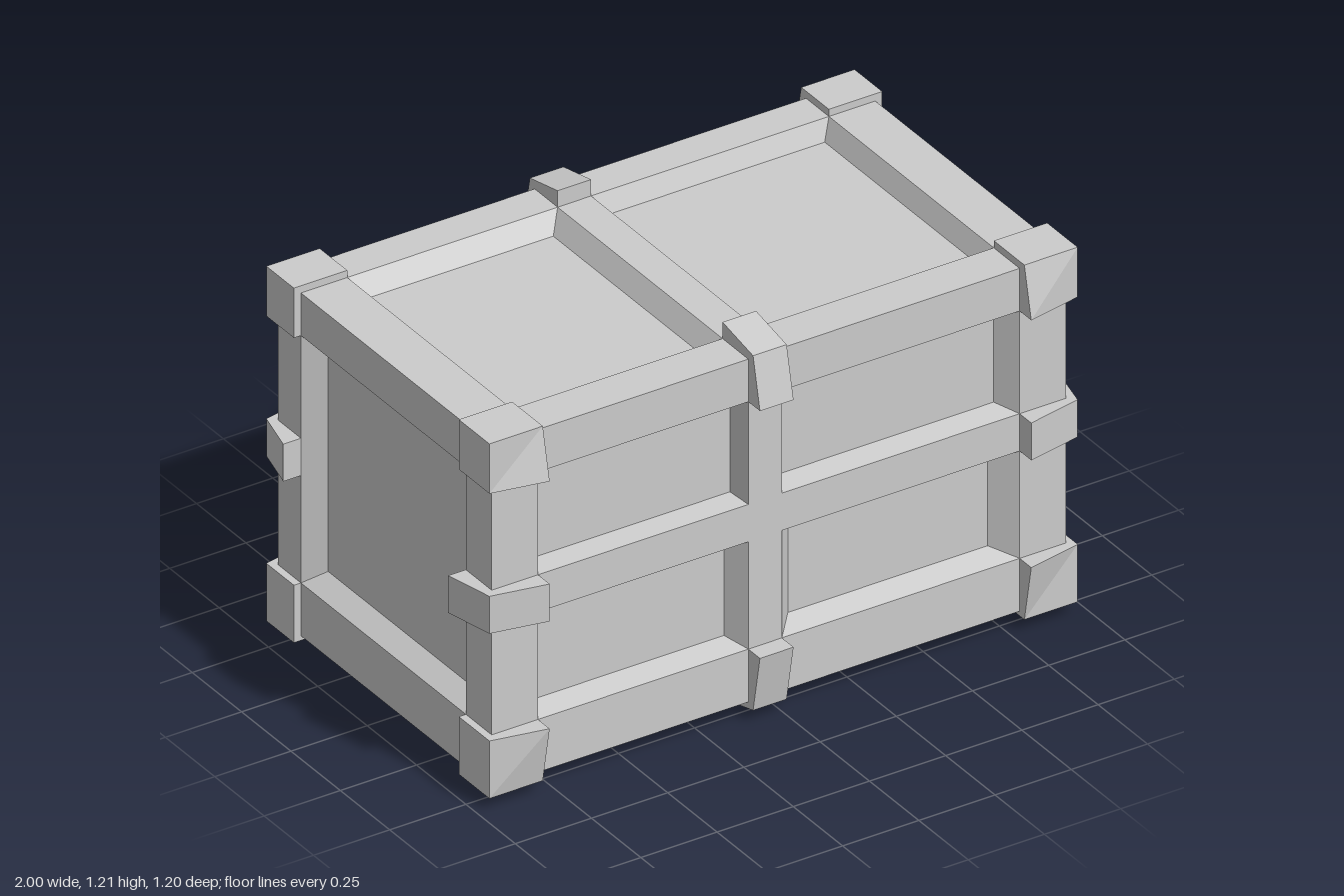
import * as THREE from 'three';

const material = new THREE.MeshStandardMaterial({ color: 0xcccccc, flatShading: true });

// Outer limits of the crate body
const X = 0.942, Y0 = 0.055, Y1 = 1.157, Z = 0.541;
// Inner edges of the frame timbers
const POST = 0.79, LOW = 0.225, HIGH = 1.02, FRONT = 0.41, BACK = -0.425;
const BAR = [-0.1, 0.01], RAIL = [0.57, 0.69];

function addMesh(parent, name, geometry) {
  const mesh = new THREE.Mesh(geometry, material);
  mesh.name = name;
  parent.add(mesh);
  return mesh;
}

// Six-sided block whose corners (each coordinate -1 or 1) are placed by a rule
function block(rule) {
  const g = new THREE.BoxGeometry(2, 2, 2).toNonIndexed();
  const p = g.attributes.position;
  for (let i = 0; i < p.count; i++) p.setXYZ(i, ...rule(p.getX(i), p.getY(i), p.getZ(i)));
  g.computeVertexNormals();
  return g;
}

// Sunken panel: four sloping sides and a floor. Rectangles are [u0, v0, u1, v1].
function tray(o, n, depth) {
  const ring = ([a, b, c, d], z) => [[a, b, z], [c, b, z], [c, d, z], [a, d, z]];
  const A = ring(o, 0), B = ring(n, -depth), pos = [];
  const quad = (a, b, c, d) => pos.push(...a, ...b, ...c, ...a, ...c, ...d);
  for (let i = 0; i < 4; i++) quad(A[i], A[(i + 1) % 4], B[(i + 1) % 4], B[i]);
  quad(...B);
  const g = new THREE.BufferGeometry();
  g.setAttribute('position', new THREE.Float32BufferAttribute(pos, 3));
  g.computeVertexNormals();
  return g;
}

// One side of the crate: flat frame with openings, and a tray in each opening
function side(name, rect, panels, depth) {
  const group = new THREE.Group();
  group.name = name;
  const corners = ([a, b, c, d]) =>
    [[a, b], [c, b], [c, d], [a, d]].map(([u, v]) => new THREE.Vector2(u, v));
  const shape = new THREE.Shape(corners(rect));
  for (const [open, inner] of panels) {
    shape.holes.push(new THREE.Path(corners(open).reverse()));
    addMesh(group, 'recessedPanel', tray(open, inner, depth));
  }
  addMesh(group, 'frame', new THREE.ShapeGeometry(shape));
  return group;
}

// Swap a rectangle left to right, or top to bottom
const flipU = ([a, b, c, d]) => [-c, b, -a, d];
const flipV = ([a, b, c, d]) => [a, -d, c, -b];

export function createModel() {
  const crate = new THREE.Group();
  crate.name = 'crate';

  // Front and back: four panels around a cross
  const long = [
    [[-POST, RAIL[1], BAR[0], HIGH], [-0.775, 0.7, -0.115, 1.01]],
    [[BAR[1], RAIL[1], POST, HIGH], [0.045, 0.705, 0.75, 1.01]],
    [[-POST, LOW, BAR[0], RAIL[0]], [-0.76, 0.245, -0.135, 0.55]],
    [[BAR[1], LOW, POST, RAIL[0]], [0.075, 0.25, 0.73, 0.55]],
  ];
  const longRect = [-X, Y0, X, Y1];
  const front = side('frontSide', longRect, long, 0.07);
  front.position.z = Z;
  const back = side('backSide', longRect, long.map(p => p.map(flipU)), 0.07);
  back.position.z = -Z;
  back.rotation.y = Math.PI;

  // Ends: one large panel each
  const end = [[[-FRONT, LOW, -BACK, HIGH], [-0.37, 0.265, 0.38, 0.98]]];
  const endRect = [-Z, Y0, Z, Y1];
  const leftEnd = side('leftEnd', endRect, end, 0.06);
  leftEnd.position.x = X;
  leftEnd.rotation.y = Math.PI / 2;
  const rightEnd = side('rightEnd', endRect, end.map(p => p.map(flipU)), 0.06);
  rightEnd.position.x = -X;
  rightEnd.rotation.y = -Math.PI / 2;

  // Lid: two panels beside the centre bar. Base: one wide panel.
  const lidPanels = [
    [[-POST, BACK, BAR[0], FRONT], [-0.755, -0.385, -0.14, 0.36]],
    [[BAR[1], BACK, POST, FRONT], [0.04, -0.4, 0.76, 0.375]],
  ];
  const flatRect = [-X, -Z, X, Z];
  const lid = side('lid', flatRect, lidPanels.map(p => p.map(flipV)), 0.06);
  lid.position.y = Y1;
  lid.rotation.x = -Math.PI / 2;
  const basePanel = [[[-POST, BACK, POST, FRONT], [-0.76, -0.395, 0.76, 0.38]]];
  const base = side('base', flatRect, basePanel, 0.05);
  base.position.y = Y0;
  base.rotation.x = Math.PI / 2;

  crate.add(front, back, leftEnd, rightEnd, lid, base);

  for (const sz of [1, -1]) {
    const zIn = sz > 0 ? FRONT : BACK;

    for (const sx of [1, -1]) {
      // Corner caps: the corner farthest along the frame flares outwards
      for (const sy of [1, -1]) {
        const yIn = sy > 0 ? HIGH : LOW, yOut = sy > 0 ? 1.18 : 0.04;
        addMesh(crate, 'cornerCap', block((x, y, z) => {
          const ox = x === sx, oy = y === sy, oz = z === sz;
          const flareX = sx > 0 && sy > 0 && sz > 0 && !oy && !oz;
          const flareZ = !ox && !oy;
          return [
            ox ? sx * (flareX ? 1 : 0.965) : sx * POST,
            oy ? yOut : yIn,
            oz ? sz * (flareZ ? 0.6 : 0.565) : zIn,
          ];
        }));
      }

      // Brackets wrapping the corner posts at mid height
      addMesh(crate, 'postBracket', block((x, y, z) => {
        const ox = x === sx, oz = z === sz;
        return [
          ox ? sx * (oz ? 0.965 : 1) : sx * POST,
          y > 0 ? RAIL[1] : RAIL[0],
          oz ? sz * (ox ? 0.565 : 0.6) : zIn,
        ];
      }));
    }

    // Brackets wrapping the long edges at the centre bar
    for (const sy of [1, -1]) {
      const edge = sy > 0 ? [HIGH, 1.18, 1.21] : [LOW, 0.04, 0];
      addMesh(crate, 'edgeBracket', block((x, y, z) => {
        const oy = y === sy, oz = z === sz;
        return [
          x > 0 ? BAR[1] : BAR[0],
          oy ? (oz ? edge[1] : edge[2]) : edge[0],
          oz ? sz * (oy ? 0.565 : 0.6) : zIn,
        ];
      }));
    }
  }
  return crate;
}
